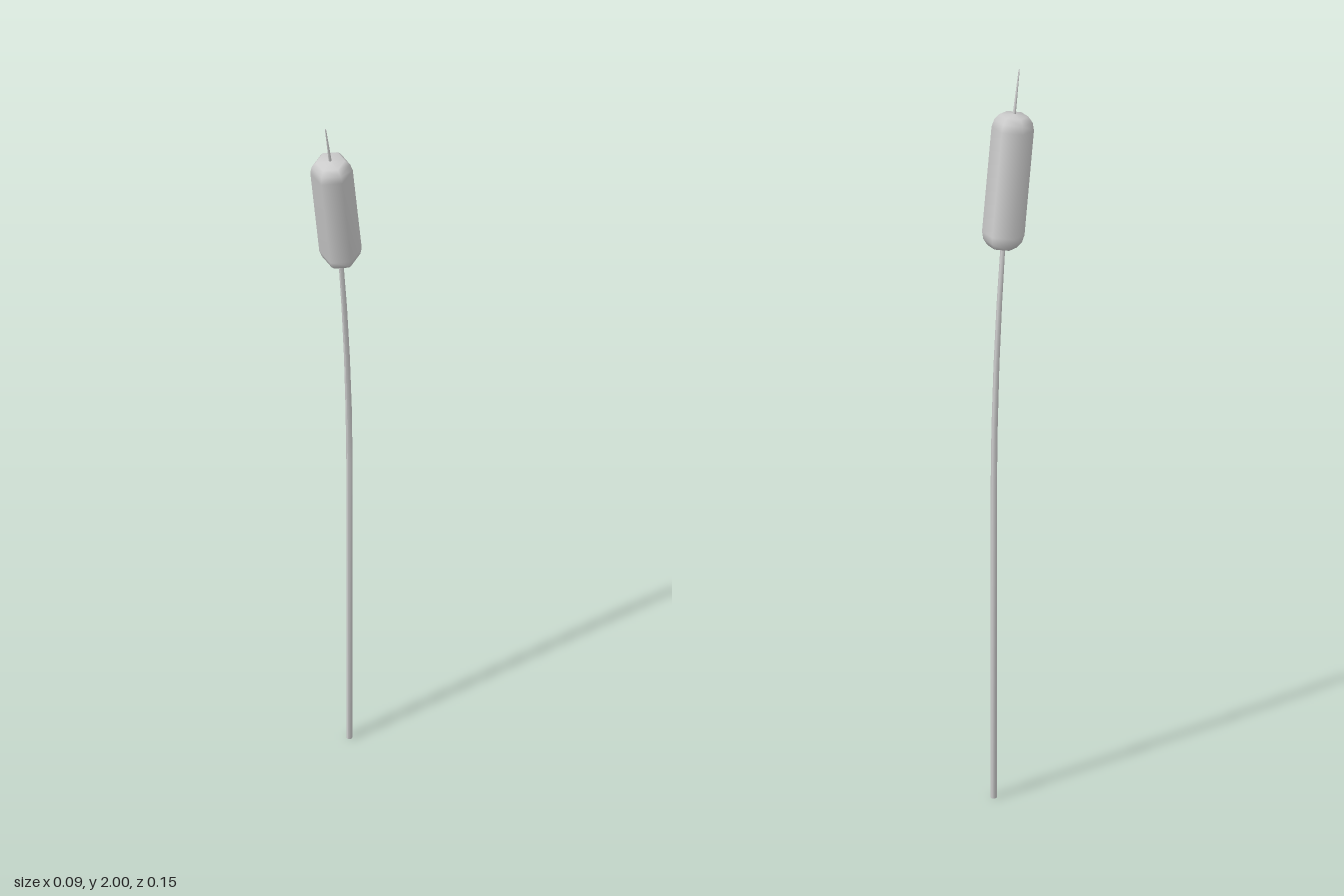
import * as THREE from 'three';

const material = new THREE.MeshStandardMaterial({ color: 0xcccccc });
const SIDES = 6;

// Six-sided stalk through rings of [y, z, radius], listed from bottom to top
function stalk(name, rings) {
  const n = rings.length - 1;
  const geometry = new THREE.CylinderGeometry(1, 1, 1, SIDES, n);
  const p = geometry.attributes.position;
  for (let i = 0; i < p.count; i++) {
    const [y, z, r] = rings[Math.round((p.getY(i) + 0.5) * n)];
    p.setXYZ(i, p.getX(i) * r, y, z + p.getZ(i) * r);
  }
  geometry.computeVertexNormals();
  const mesh = new THREE.Mesh(geometry, material);
  mesh.name = name;
  return mesh;
}

export function createModel() {
  const group = new THREE.Group();
  group.name = 'cattail';

  // Long stem, straight below and bending forward towards the head
  group.add(stalk('stem', [
    [0, -0.068, 0.008],
    [0.87, -0.068, 0.008],
    [1.04, -0.064, 0.008],
    [1.21, -0.055, 0.0075],
    [1.38, -0.041, 0.007],
    [1.56, -0.021, 0.006],
  ]));

  // Seed head: a rounded six-sided capsule leaning forward
  const end = [[0.054, 0.14], [0.049, 0.16], [0.037, 0.175], [0, 0.18]];
  const profile = [
    ...end.map(([r, y]) => new THREE.Vector2(r, -y)).reverse(),
    ...end.map(([r, y]) => new THREE.Vector2(r, y)),
  ];
  const head = new THREE.Mesh(new THREE.LatheGeometry(profile, SIDES), material);
  head.name = 'seedHead';
  head.position.set(0, 1.709, 0.001);
  head.rotation.x = 0.165;
  group.add(head);

  // Thin spike on top of the head
  group.add(stalk('spike', [
    [1.86, 0.026, 0.0045],
    [2, 0.055, 0.0015],
  ]));

  return group;
}
